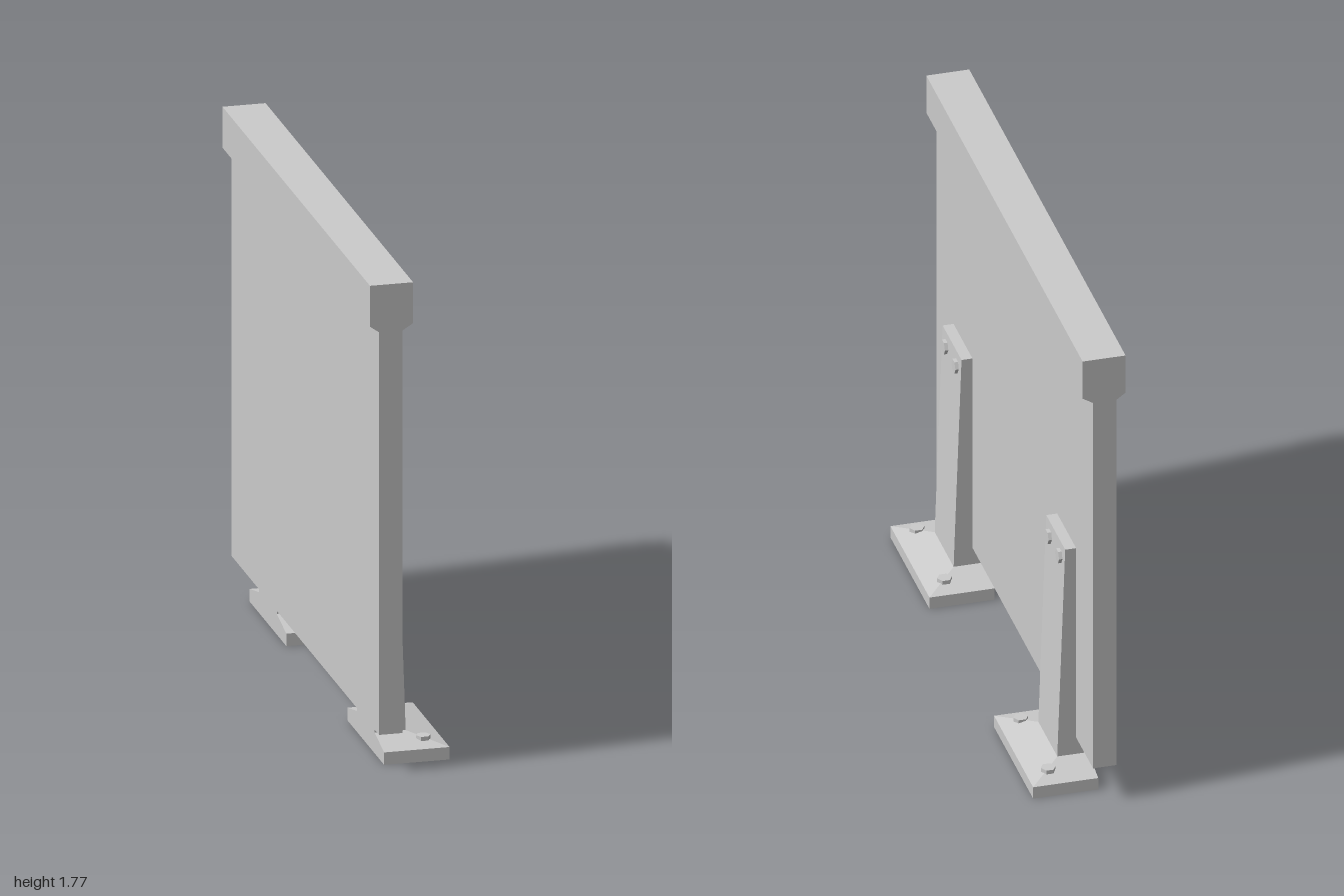
import * as THREE from 'three';

const material = new THREE.MeshStandardMaterial({ color: 0xcccccc, flatShading: true });

// Rectangular cross-section at height y, running around the vertical axis
const ring = (y, x0, x1, h) => [[x0, y, h], [x1, y, h], [x1, y, -h], [x0, y, -h]];

// Skin a list of rings and close the first and last one
function loft(rings) {
  const pos = [];
  const quad = (a, b, c, d) => pos.push(...a, ...b, ...c, ...a, ...c, ...d);
  for (let i = 0; i < rings.length - 1; i++) {
    const lo = rings[i], hi = rings[i + 1];
    for (let k = 0; k < 4; k++) {
      const n = (k + 1) % 4;
      quad(lo[k], lo[n], hi[n], hi[k]);
    }
  }
  quad(...rings[0]);
  quad(...rings[rings.length - 1]);
  const geo = new THREE.BufferGeometry();
  geo.setAttribute('position', new THREE.Float32BufferAttribute(pos, 3));
  geo.computeVertexNormals();
  return geo;
}

function add(parent, geo, name, x = 0, y = 0, z = 0) {
  const mesh = new THREE.Mesh(geo, material);
  mesh.name = name;
  mesh.position.set(x, y, z);
  parent.add(mesh);
}

function createBracket() {
  const bracket = new THREE.Group();
  // Hollow bracket: up the outside from the open underside, inner cavity first
  const shell = loft([
    ring(0.8, -0.025, -0.007, 0.11),
    ring(0.14, -0.025, 0.016, 0.11),
    ring(0.13, -0.068, 0.016, 0.11),
    ring(0.063, -0.068, 0.018, 0.11),
    ring(0.035, -0.068, 0.138, 0.238),
    ring(0, -0.068, 0.138, 0.238),
    ring(0, -0.08, 0.152, 0.25),
    ring(0.045, -0.08, 0.152, 0.25),
    ring(0.075, -0.08, 0.03, 0.121),
    ring(0.14, -0.08, 0.028, 0.121),
    ring(0.14, -0.037, 0.028, 0.121),
    ring(0.895, -0.037, 0.002, 0.121),
  ]);
  add(bracket, shell, 'bracketBody');

  // Hex bolts into the panel and into the floor
  const sideBolt = new THREE.CylinderGeometry(0.026, 0.026, 0.03, 6).rotateZ(-Math.PI / 2);
  const floorBolt = new THREE.CylinderGeometry(0.026, 0.026, 0.036, 6).rotateY(Math.PI / 6);
  for (const s of [-1, 1]) {
    add(bracket, sideBolt, 'panelBolt', 0.001, 0.842, s * 0.067);
    add(bracket, floorBolt, 'floorBolt', 0.078, 0.054, s * 0.176);
  }
  return bracket;
}

export function createModel() {
  const model = new THREE.Group();
  model.name = 'barrier';

  // Panel with a thickened top rail, one profile along z
  const profile = new THREE.Shape([
    [-0.121, 0.14], [-0.037, 0.14], [-0.037, 1.597], [0, 1.62],
    [0, 1.768], [-0.153, 1.768], [-0.153, 1.62], [-0.121, 1.597],
  ].map(([x, y]) => new THREE.Vector2(x, y)));
  const panel = new THREE.ExtrudeGeometry(profile, { depth: 2, bevelEnabled: false });
  add(model, panel, 'panel', 0, 0, -1);

  // Pair of support brackets
  for (const s of [-1, 1]) {
    const bracket = createBracket();
    bracket.name = s > 0 ? 'frontBracket' : 'backBracket';
    bracket.position.z = s * 0.663;
    model.add(bracket);
  }
  return model;
}
